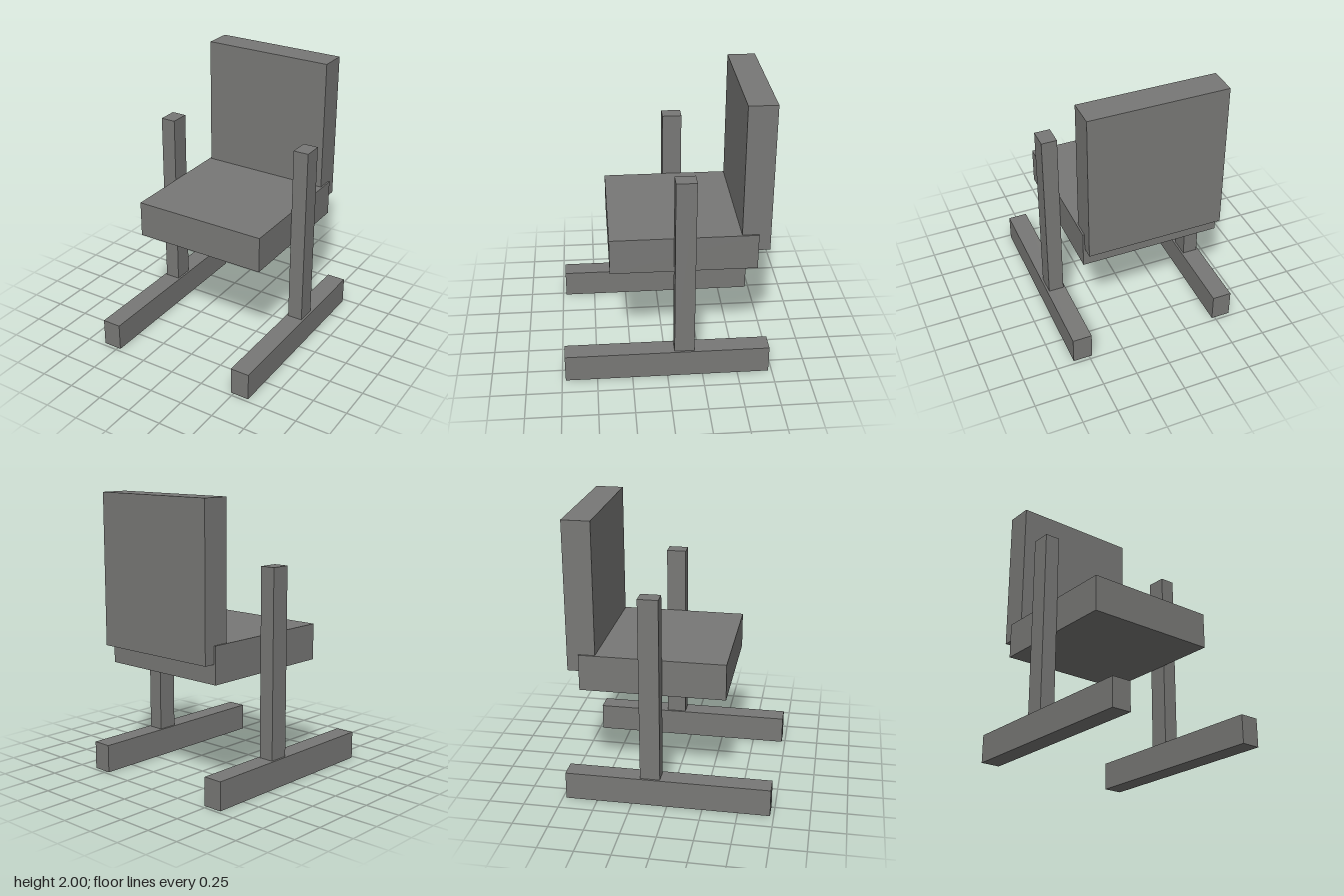
import * as THREE from 'three';

export function createModel() {
  const model = new THREE.Group();
  model.name = 'chair';
  const material = new THREE.MeshStandardMaterial({ color: 0x787876, flatShading: true });

  // Box given by its [min, max] extent along each axis
  function addBox(name, [x0, x1], [y0, y1], [z0, z1]) {
    const mesh = new THREE.Mesh(new THREE.BoxGeometry(x1 - x0, y1 - y0, z1 - z0), material);
    mesh.position.set((x0 + x1) / 2, (y0 + y1) / 2, (z0 + z1) / 2);
    mesh.name = name;
    model.add(mesh);
  }

  // Cushions
  addBox('seat', [-0.491, 0.491], [0.797, 1.057], [-0.633, 0.39]);
  addBox('backrest', [-0.479, 0.479], [0.934, 2], [-0.715, -0.517]);

  // Upright post on a floor runner, mirrored to both sides
  for (const [side, s] of [['left', 1], ['right', -1]]) {
    const span = (a, b) => (s > 0 ? [a, b] : [-b, -a]);
    addBox(side + 'Post', span(0.492, 0.602), [0.2, 1.528], [-0.191, -0.05]);
    addBox(side + 'Runner', span(0.478, 0.617), [0, 0.2], [-0.725, 0.725]);
  }
  return model;
}
